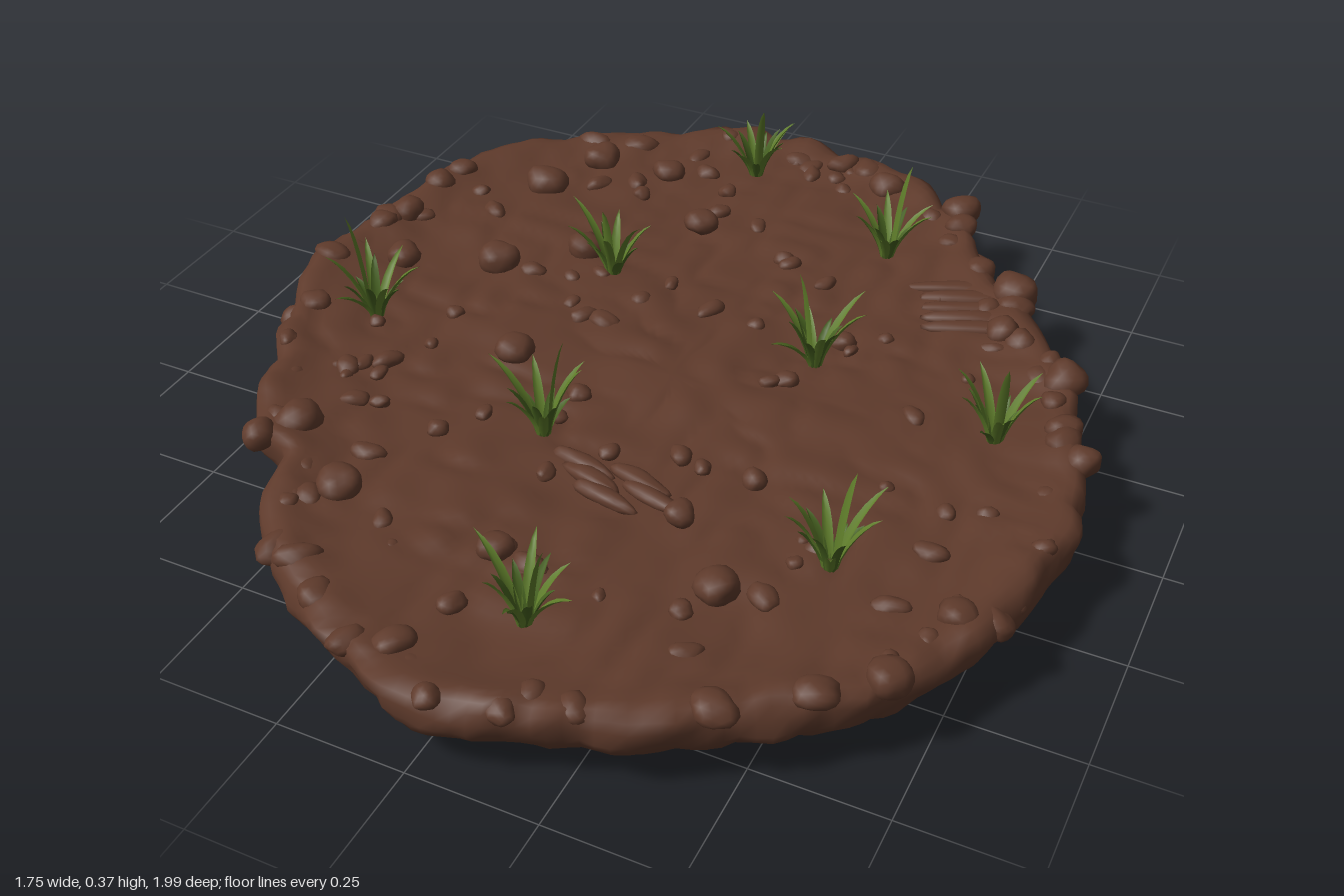
import * as THREE from 'three';
import { mergeGeometries, mergeVertices } from 'three/addons/utils/BufferGeometryUtils.js';

// Seeded random numbers
let seed = 7;
const rand = (a = 0, b = 1) => {
  seed = (seed * 16807) % 2147483647;
  return a + (b - a) * (seed / 2147483647);
};

// Smooth 3D value noise, 0..1
function hash(x, y, z) {
  const s = Math.sin(x * 127.1 + y * 311.7 + z * 74.7) * 43758.5453;
  return s - Math.floor(s);
}
function noise(x, y, z) {
  const i = Math.floor(x), j = Math.floor(y), k = Math.floor(z);
  const f = (t) => t * t * (3 - 2 * t);
  const u = f(x - i), v = f(y - j), w = f(z - k);
  const mix = THREE.MathUtils.lerp;
  const row = (b, c) => mix(hash(i, b, c), hash(i + 1, b, c), u);
  return mix(mix(row(j, k), row(j + 1, k), v), mix(row(j, k + 1), row(j + 1, k + 1), v), w);
}

// Outline of the patch seen from above (x, z)
const OUTLINE = [
  [-0.18, -0.99], [0.08, -0.97], [0.33, -0.83], [0.46, -0.64], [0.58, -0.54], [0.67, -0.4],
  [0.75, -0.28], [0.82, -0.08], [0.86, 0.11], [0.83, 0.34], [0.71, 0.61], [0.48, 0.81],
  [0.24, 0.93], [0.03, 0.99], [-0.18, 0.92], [-0.37, 0.82], [-0.5, 0.69], [-0.55, 0.55],
  [-0.63, 0.5], [-0.76, 0.26], [-0.86, 0.03], [-0.87, -0.19], [-0.83, -0.5], [-0.71, -0.71],
  [-0.58, -0.82], [-0.39, -0.92],
];
const outline = new THREE.CatmullRomCurve3(OUTLINE.map(([x, z]) => new THREE.Vector3(x, 0, z)), true);

// Cross-section from the bottom centre, round the rim, to the top centre (scale, y)
const PROFILE = [
  [0, 0], [0.5, 0], [0.85, 0.002], [0.91, 0.02], [0.965, 0.06], [0.995, 0.11],
  [0.985, 0.145], [0.95, 0.155], [0.9, 0.148], [0.8, 0.141], [0.4, 0.138], [0, 0.14],
];
const profile = new THREE.CatmullRomCurve3(PROFILE.map(([s, y]) => new THREE.Vector3(s, y, 0)));

// Uneven height of the soil top
const groundBump = (x, z) =>
  (noise(x * 5 + 20, 3, z * 5) - 0.5) * 0.016 + (Math.abs(noise(x * 13, 9, z * 13 + 40) - 0.5) - 0.2) * 0.022;

function soilGeometry() {
  const around = 220, rings = 100;
  const edge = outline.getSpacedPoints(around), section = profile.getSpacedPoints(rings);
  const pos = [], index = [];
  section.forEach(({ x: s, y }, i) => {
    for (let j = 0; j < around; j++) {
      const x = edge[j].x * s, z = edge[j].z * s;
      const rim = THREE.MathUtils.smoothstep(s, 0.82, 0.97);
      const lump = Math.abs(noise(x * 9, y * 14, z * 9) - 0.5) * 0.05 + noise(x * 22, y * 22, z * 22) * 0.02;
      const k = 1 + rim * (lump - 0.022);
      const top = i > rings / 2 ? THREE.MathUtils.smoothstep(y, 0.08, 0.135) : 0;
      const h = y + top * (groundBump(x, z) + rim * (lump - 0.015) * 0.5);
      pos.push(x * k, Math.max(0, h), z * k);
      if (i < rings) {
        const a = i * around + j, b = i * around + (j + 1) % around;
        index.push(a, a + around, b, b, a + around, b + around);
      }
    }
  });
  const g = new THREE.BufferGeometry();
  g.setAttribute('position', new THREE.Float32BufferAttribute(pos, 3));
  g.setIndex(index);
  g.computeVertexNormals();
  return g;
}

// One rounded, slightly irregular clod of earth
function clodGeometry(x, y, z, r, stretch = 1, turn = rand(0, 6.28)) {
  let g = new THREE.IcosahedronGeometry(1, 2);
  g.deleteAttribute('uv');
  g.deleteAttribute('normal');
  g = mergeVertices(g, 1e-3);
  const p = g.attributes.position, v = new THREE.Vector3(), o = rand(0, 50);
  for (let i = 0; i < p.count; i++) {
    v.fromBufferAttribute(p, i);
    v.multiplyScalar(0.8 + 0.4 * noise(v.x * 1.4 + o, v.y * 1.4 + 9, v.z * 1.4 + 9));
    p.setXYZ(i, v.x, v.y, v.z);
  }
  g.scale(r * stretch, r * 0.8, r).rotateY(turn).translate(x, y, z);
  g.computeVertexNormals();
  return g;
}

// Larger clods lying on the patch (x, z, radius)
const CLODS = [
  [0.14, -0.86, 0.04], [0.32, -0.83, 0.045], [0.53, -0.57, 0.05], [0.71, -0.31, 0.045], [0.81, -0.08, 0.035],
  [-0.51, -0.7, 0.042], [-0.57, -0.55, 0.045], [-0.51, -0.22, 0.045], [-0.39, 0.57, 0.042], [-0.57, 0.44, 0.045],
  [-0.05, 0.6, 0.032], [0.34, 0.52, 0.04], [0.68, 0.6, 0.04], [-0.31, 0.06, 0.04], [0.03, 0.96, 0.025],
  [-0.18, -0.54, 0.035], [-0.34, -0.71, 0.035], [-0.36, -0.34, 0.042], [-0.79, -0.3, 0.04], [-0.79, -0.44, 0.035],
  [-0.61, 0.51, 0.035], [0.55, -0.42, 0.035], [-0.7, -0.14, 0.035], [0.2, 0.38, 0.03],
];

function clodsGeometry() {
  const parts = CLODS.map(([x, z, r]) => clodGeometry(x, 0.15, z, r));
  // Crumbs along the rim
  for (let i = 0; i < 75; i++) {
    const e = outline.getPointAt((i + rand(0, 0.8)) / 75), s = rand(0.91, 0.97);
    parts.push(clodGeometry(e.x * s, rand(0.115, 0.155), e.z * s, rand(0.018, 0.036), rand(1, 1.5)));
  }
  // Crumbs scattered over the top
  for (let i = 0; i < 85; i++) {
    const e = outline.getPointAt(rand()), s = Math.sqrt(rand(0.03, 0.85));
    parts.push(clodGeometry(e.x * s, 0.138, e.z * s, rand(0.012, 0.026), rand(1, 1.6)));
  }
  // Two patches of raked ridges
  for (let i = 0; i < 5; i++) {
    parts.push(clodGeometry(0.42 + i * 0.02, 0.136, -0.55 + i * 0.032, 0.022, 5, 0.35));
    parts.push(clodGeometry(-0.03 + i * 0.04, 0.136, 0.31 + (i % 3) * 0.035, 0.02, 3.5, -0.25));
  }
  return mergeGeometries(parts);
}

// Curved, tapering blade with a V-shaped section, leaning towards an angle
function bladeGeometry(angle, reach, height, width) {
  const steps = 6, pos = [], index = [];
  for (let i = 0; i <= steps; i++) {
    const t = i / steps;
    const out = 0.012 + reach * Math.pow(t, 1.4);
    const y = height * (1.25 * t - 0.25 * t * t * t);
    const w = width * (0.75 + 0.8 * t) * (1 - t * t) * 0.5;
    pos.push(out, y + w * 0.4, -w, out + w * 0.3, y - w * 0.2, 0, out, y + w * 0.4, w);
    if (i < steps) {
      for (const k of [0, 1]) {
        const a = i * 3 + k;
        index.push(a, a + 1, a + 3, a + 1, a + 4, a + 3);
      }
    }
  }
  const g = new THREE.BufferGeometry();
  g.setAttribute('position', new THREE.Float32BufferAttribute(pos, 3));
  g.setIndex(index);
  g.rotateY(angle);
  g.computeVertexNormals();
  return g;
}

// Grass tufts (x, z, tip height above the soil)
const TUFTS = [
  [-0.16, -0.8, 0.19], [0.23, -0.61, 0.21], [-0.27, -0.29, 0.18], [0.24, -0.17, 0.23], [0.64, -0.08, 0.2],
  [-0.64, 0.06, 0.23], [-0.14, 0.26, 0.22], [0.49, 0.38, 0.19], [0.08, 0.73, 0.18],
];

export function createModel() {
  const soil = new THREE.MeshStandardMaterial({ color: 0x5e3a2b });
  soil.name = 'brown soil';
  const green = new THREE.MeshStandardMaterial({ color: 0x5f7d2a, side: THREE.DoubleSide });
  green.name = 'grass green';
  const darkGreen = new THREE.MeshStandardMaterial({ color: 0x46611f, side: THREE.DoubleSide });
  darkGreen.name = 'dark grass green';

  const model = new THREE.Group();
  model.name = 'soilPatch';
  const add = (parent, name, geometry, material) => {
    const mesh = new THREE.Mesh(geometry, material);
    mesh.name = name;
    parent.add(mesh);
  };
  add(model, 'soilBed', soilGeometry(), soil);
  add(model, 'clods', clodsGeometry(), soil);

  TUFTS.forEach(([x, z, h], n) => {
    const tuft = new THREE.Group();
    tuft.name = `grassTuft${n + 1}`;
    tuft.position.set(x, 0.135, z);
    const start = rand(0, 6.28), outer = [], inner = [];
    // Long arching blades outside, short ones between, one upright in the middle
    for (let i = 0; i < 6; i++) {
      const a = start + i * Math.PI / 3 + rand(-0.25, 0.25);
      outer.push(bladeGeometry(a, rand(0.065, 0.105), rand(0.09, 0.16), 0.021));
      inner.push(bladeGeometry(a + 0.52, rand(0.035, 0.06), rand(0.06, 0.11), 0.021));
    }
    outer.push(bladeGeometry(start + 1, 0.035, h, 0.022));
    add(tuft, 'longBlades', mergeGeometries(outer), green);
    add(tuft, 'shortBlades', mergeGeometries(inner), darkGreen);
    model.add(tuft);
  });
  return model;
}
